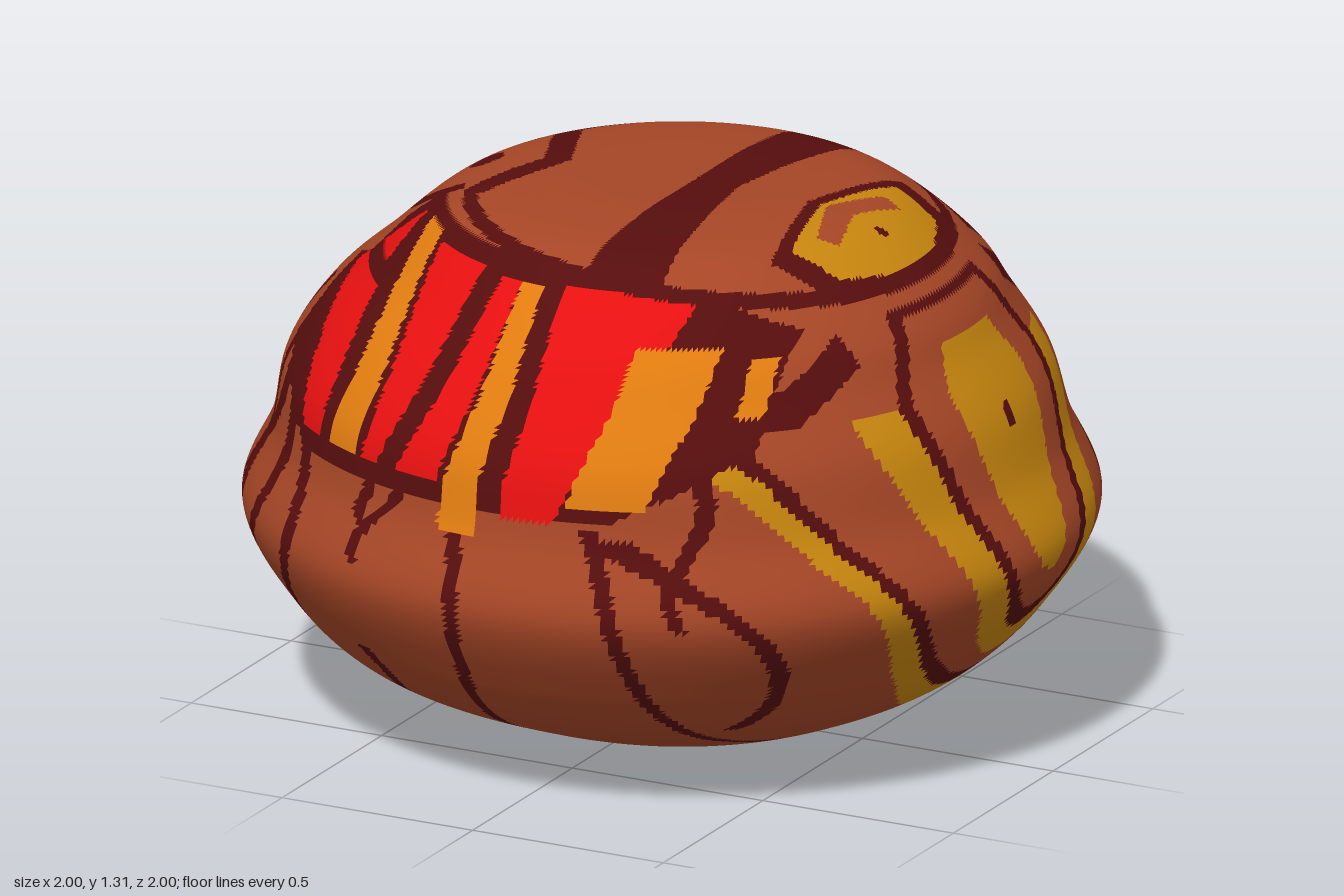
import * as THREE from 'three';

const COLORS = { brown: 0xa64626, dark: 0x560d0d, yellow: 0xc8860e, red: 0xe61010, orange: 0xe07c10 };
const PART_NAMES = { brown: 'shellBody', dark: 'darkLines', yellow: 'yellowBands', red: 'redPanels', orange: 'orangePanels' };
const lerp = THREE.MathUtils.lerp;

// Shell outline, bottom hole to crown: [leftmost x, rightmost x, height] of each round slice
const OUTLINE = [
  [-0.22, 0.02, 0], [-0.37, 0.42, 0.045], [-0.54, 0.58, 0.1], [-0.77, 0.76, 0.2], [-0.9, 0.89, 0.33],
  [-1, 1, 0.53], [-0.93, 0.93, 0.71], [-0.9, 0.885, 0.86], [-0.81, 0.8, 1], [-0.7, 0.74, 1.1],
  [-0.5, 0.54, 1.26], [-0.27, 0.34, 1.3], [0.04, 0.04, 1.305],
];

// Slanted panels on the front and back: colour, bottom y, top y, x range at bottom, x range at top
const PANELS = [
  ['red', 1.13, 1.22, -0.7, -0.54, -0.6, -0.49],
  ['red', 0.8, 1.1, -0.6, -0.53, -0.7, -0.53],
  ['orange', 0.8, 1.23, -0.49, -0.39, -0.45, -0.38],
  ['red', 0.8, 1.22, -0.37, -0.32, -0.36, -0.19],
  ['red', 0.8, 1.21, -0.26, -0.14, -0.13, -0.07],
  ['orange', 0.7, 1.21, -0.13, -0.03, -0.07, -0.01],
  ['orange', 0.79, 1.12, 0.2, 0.38, 0.25, 0.43],
  ['red', 0.75, 1.22, 0.04, 0.17, 0.04, 0.36],
  ['orange', 0.98, 1.1, 0.49, 0.54, 0.49, 0.54],
];

// Nested pointed bands on the right end, inside out: colour, tip y, top y, half width
const BANDS = [
  ['yellow', 0.5, 1.05, 0.17], ['brown', 0.4, 1.12, 0.285], ['dark', 0.35, 1.14, 0.325], ['yellow', 0.28, 0.95, 0.45],
  ['brown', 0.235, 0.95, 0.665], ['dark', 0.2, 0.9, 0.7], ['yellow', 0.14, 0.89, 0.76],
];

// Dark streaks: x, y at the top and x, y at the lower end
const FRONT_STREAKS = [
  [-0.6, 0.8, -0.63, 0.14], [-0.26, 0.8, -0.36, 0.58], [-0.39, 0.8, -0.33, 0.64], [-0.39, 0.34, -0.31, 0.02],
  [-0.11, 0.78, -0.03, 0.01], [0.24, 0.74, 0.45, 0.05], [0.46, 0.88, 0.48, 0.52], [-0.73, 0.92, -0.87, 0.5],
  [-0.67, 0.86, -0.78, 0.36],
];
const LEFT_STREAKS = [[0.23, 1.02, 0.17, 0.5], [0.4, 0.95, 0.47, 0.33], [0.28, 0.45, 0.1, 0.05], [0, 1.08, 0.05, 0.8]];

const BADGE = [0.39, 0, 0.45, 0.265, 0.57, 0.24, 0.63, 0.11, 0.64, 0];
const CHEVRON = [0.405, 0, 0.47, 0.17, 0.52, 0.15, 0.475, 0];

function inArea(s, x, y) {
  let inside = false;
  for (let i = 0, j = s.length - 2; i < s.length; j = i, i += 2) {
    if ((s[i + 1] > y) !== (s[j + 1] > y)
      && x < ((s[j] - s[i]) * (y - s[i + 1])) / (s[j + 1] - s[i + 1]) + s[i]) inside = !inside;
  }
  return inside;
}

// Slightly wavering line, a touch thinner toward its lower end
function onStreak([x1, y1, x2, y2], x, y) {
  const t = (y1 - y) / (y1 - y2);
  const waver = 0.025 * Math.sin(t * Math.PI * 2);
  return t >= 0 && t <= 1 && Math.abs(x - lerp(x1, x2, t) - waver) < lerp(0.021, 0.014, t);
}

// Crown: round rim, left patch, cross stripe and right badge
function crown(x, z) {
  const r = Math.hypot(x - 0.1, z);
  if (r > 0.575) return null;
  const outer = inArea(BADGE, 0.52 + (x - 0.52) / 1.25, z / 1.25);
  if (outer) {
    if (Math.hypot(x - 0.55, z) < 0.015) return 'dark';
    if (inArea(CHEVRON, x, z)) return 'brown';
    return inArea(BADGE, x, z) ? 'yellow' : 'dark';
  }
  const stripe = x > 0.06 && x < 0.175 + 0.14 * z;
  const patchEdge = z < 0.25 && Math.abs(x + 0.3 + 0.4 * z) < 0.035;
  const rim = r > 0.54 && (z > 0.22 || x > 0);
  const eye = Math.hypot(x + 0.485, z * 0.7) < 0.037;
  return stripe || patchEdge || rim || eye ? 'dark' : 'brown';
}

// Left patch beyond the rim, closed by a rounded line
function leftPatch(x, z) {
  if (x > -0.35 || z > 0.3) return null;
  const r = Math.hypot(x + 0.45, z);
  if (Math.hypot(x + 0.485, z * 0.7) < 0.037) return 'dark';
  if (r < 0.175) return 'brown';
  if (r < 0.21) return 'dark';
  return Math.abs(x + 0.65) + Math.abs(z - 0.19) < 0.075 ? 'brown' : null;
}

// Bright panels on a dark ground
function panels(x, y, z) {
  if (z > 0.26) {
    const waver = 0.012 * Math.sin(14 * y);
    for (const [colour, low, high, a, b, c, d] of PANELS) {
      const t = (y - low) / (high - low);
      if (t > 0 && t < 1 && x > lerp(a, c, t) + waver && x < lerp(b, d, t) + waver) return colour;
    }
  }
  const low = 0.755 + 0.9 * Math.max(0, -0.6 - x) + 0.55 * Math.max(0, x - 0.29);
  const high = 1.25 - 0.35 * Math.max(0, x - 0.25);
  return z > 0.2 && x < 0.56 && x > -0.78 + (y - 0.92) * 0.5 && y > low && y < high ? 'dark' : null;
}

// Pointed bands with a small dark dot in the innermost one
function bands(y, z) {
  if (Math.hypot(z, (y - 0.86) / 2) < 0.015) return 'dark';
  for (const [colour, tip, top, width] of BANDS) {
    const t = (y - tip) / (0.9 - tip);
    if (t > 0 && y < top && z < width * Math.min(t, 1) ** 0.45 - 0.6 * Math.max(0, y - 0.95)) return colour;
  }
  return onStreak([0.88, 0.72, 0.6, 0.2], z, y) || (Math.abs(y - 1.28 + 0.53 * z) < 0.035 && z > 0.36 && z < 0.74)
    ? 'dark' : null;
}

// Dark star around the bottom hole, with a long point to the right
function star(x, y, z) {
  if (y > 0.2) return null;
  const a = Math.atan2(z, x);
  const point = x > 0 && z < 0.25 * (0.68 - x);
  return point || Math.hypot(x, z) < 0.32 + 0.07 * Math.cos(7 * a) ? 'dark' : null;
}

// Both z halves are painted alike
function colourAt(p) {
  const { x, y } = p, z = Math.abs(p.z);
  return (y > 1 ? crown(x, z) ?? leftPatch(x, z) : null)
    ?? panels(x, y, z)
    ?? (x > 0 ? bands(y, z) : null)
    ?? star(x, y, z)
    ?? (FRONT_STREAKS.some((s) => onStreak(s, x, y)) ? 'dark' : null)
    ?? (x < 0 && LEFT_STREAKS.some((s) => onStreak(s, z, y)) ? 'dark' : 'brown');
}

export function createModel() {
  const group = new THREE.Group();
  group.name = 'paintedShell';
  const ROWS = 200, COLS = 360;

  // Smooth shell from round slices
  const curve = new THREE.CatmullRomCurve3(OUTLINE.map((o) => new THREE.Vector3(...o)), false, 'centripetal');
  const points = [];
  for (const s of curve.getSpacedPoints(ROWS)) {
    const centre = (s.x + s.y) / 2, r = Math.max((s.y - s.x) / 2, 0);
    for (let j = 0; j < COLS; j++) {
      const a = (j / COLS) * Math.PI * 2;
      points.push(new THREE.Vector3(centre + r * Math.sin(a), Math.max(s.z, 0), r * Math.cos(a)));
    }
  }

  // Sort the faces by colour
  const faces = { brown: [], dark: [], yellow: [], red: [], orange: [] };
  const all = [], mid = new THREE.Vector3();
  const addFace = (...f) => {
    mid.copy(points[f[0]]).add(points[f[1]]).add(points[f[2]]).divideScalar(3);
    faces[colourAt(mid)].push(...f);
    all.push(...f);
  };
  for (let i = 0; i < ROWS; i++) {
    for (let j = 0; j < COLS; j++) {
      const a = i * COLS + j, b = i * COLS + ((j + 1) % COLS);
      addFace(a, b, b + COLS);
      if (i < ROWS - 1) addFace(a, b + COLS, a + COLS);
    }
  }

  // Normals come from the whole shell so colour borders stay smooth
  const shell = new THREE.BufferGeometry().setFromPoints(points);
  shell.setIndex(all);
  shell.computeVertexNormals();

  for (const [name, hex] of Object.entries(COLORS)) {
    const geometry = new THREE.BufferGeometry();
    geometry.setAttribute('position', shell.getAttribute('position'));
    geometry.setAttribute('normal', shell.getAttribute('normal'));
    geometry.setIndex(faces[name]);
    const material = new THREE.MeshStandardMaterial({ color: hex, side: THREE.DoubleSide });
    material.name = name;
    const mesh = new THREE.Mesh(geometry, material);
    mesh.name = PART_NAMES[name];
    group.add(mesh);
  }
  return group;
}
